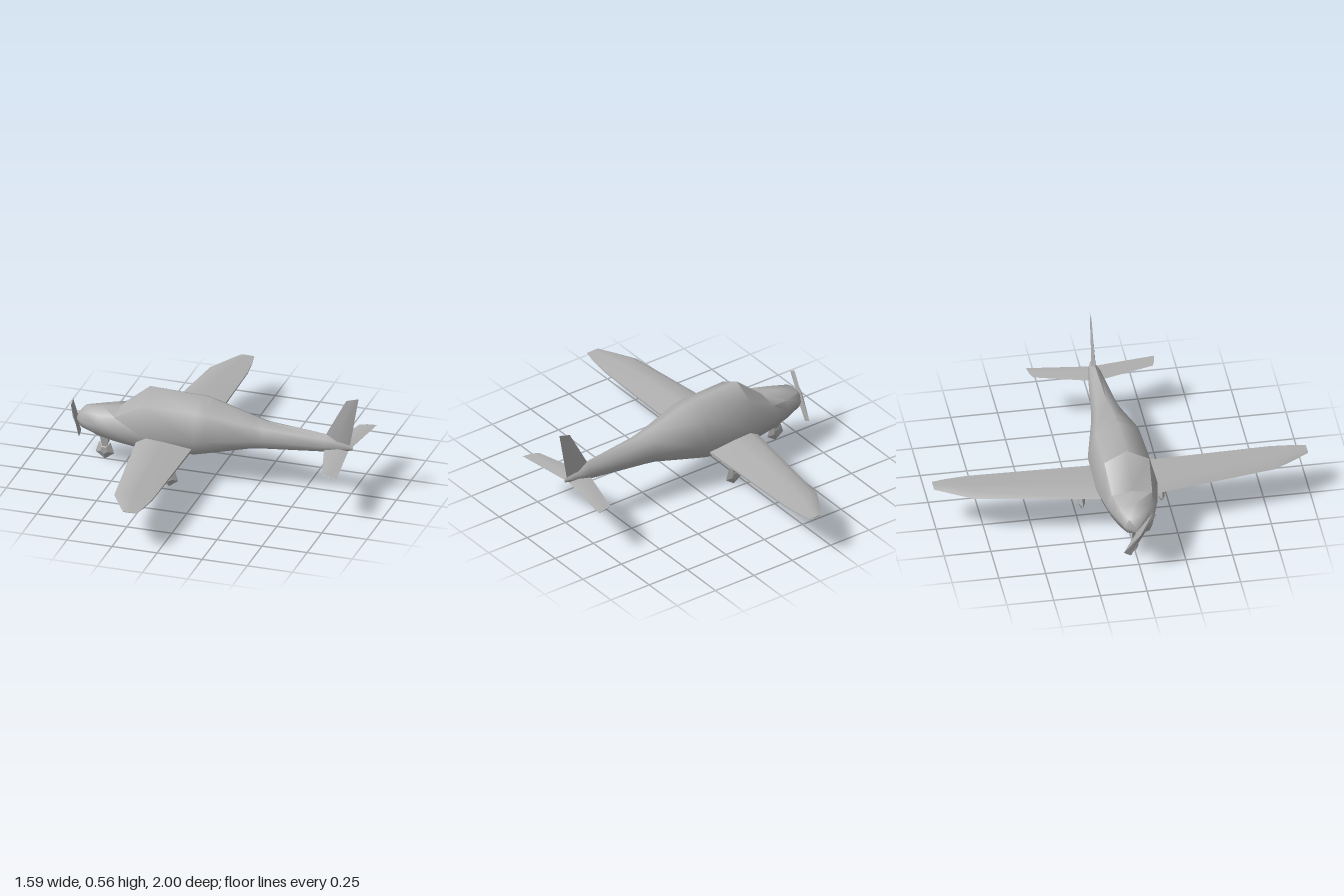
import * as THREE from 'three';
import { toCreasedNormals } from 'three/addons/utils/BufferGeometryUtils.js';

// Skin over rings of points; each ring runs counterclockwise seen from the last ring.
function loft(rings, crease, keep = () => true, caps = true) {
  const n = rings[0].length, index = [];
  for (let i = 0; i < rings.length - 1; i++) {
    for (let j = 0; j < n; j++) {
      if (!keep(i, j)) continue;
      const a = i * n + j, b = i * n + (j + 1) % n;
      index.push(a, b, b + n, a, b + n, a + n);
    }
  }
  if (caps) {
    const e = (rings.length - 1) * n;
    for (let j = 1; j < n - 1; j++) index.push(0, j + 1, j, e, e + j, e + j + 1);
  }
  const geo = new THREE.BufferGeometry();
  geo.setAttribute('position', new THREE.Float32BufferAttribute(rings.flat(2), 3));
  geo.setIndex(index);
  return toCreasedNormals(geo, crease);
}

// Mirror rings across the centre plane, keeping faces outward
const mirrorZ = rings => rings.map(r => r.map(([x, y, z]) => [x, y, -z]).reverse());

export function createModel() {
  const model = new THREE.Group();
  model.name = 'lightAirplane';
  const grey = new THREE.MeshStandardMaterial({ color: 0xb0b0b0 });
  grey.name = 'grey';
  const add = (name, geo, parent = model) => {
    const mesh = new THREE.Mesh(geo, grey);
    mesh.name = name;
    parent.add(mesh);
    return mesh;
  };

  // Fuselage stations: x, bottom, top, half width, shoulder y, shoulder z, side y
  const stations = [
    [-0.77, 0.21, 0.24, 0.012, 0.235, 0.008, 0.225],
    [-0.73, 0.185, 0.295, 0.075, 0.28, 0.05, 0.235],
    [-0.63, 0.15, 0.31, 0.105, 0.29, 0.085, 0.235],
    [-0.53, 0.137, 0.322, 0.135, 0.303, 0.108, 0.235],
    [-0.365, 0.12, 0.465, 0.165, 0.402, 0.12, 0.24],
    [-0.08, 0.13, 0.452, 0.16, 0.395, 0.115, 0.245],
    [-0.02, 0.143, 0.445, 0.146, 0.385, 0.107, 0.25],
    [0.22, 0.2, 0.373, 0.09, 0.34, 0.062, 0.268],
    [0.28, 0.205, 0.355, 0.08, 0.33, 0.055, 0.27],
    [0.61, 0.23, 0.33, 0.04, 0.31, 0.026, 0.27],
    [0.7, 0.243, 0.3, 0.024, 0.288, 0.016, 0.268],
    [0.755, 0.255, 0.275, 0.005, 0.27, 0.004, 0.264]
  ];
  const hull = stations.map(([x, yb, yt, w, sy, sz, my]) => {
    const ly = yb + (my - yb) * 0.3, lz = w * 0.8;
    return [[x, yt, 0], [x, sy, sz], [x, my, w], [x, ly, lz], [x, yb, 0],
      [x, ly, -lz], [x, my, -w], [x, sy, -sz]];
  });
  const isGlass = (i, j) => i === 3 && (j === 0 || j === 7);
  add('fuselage', loft(hull, 1.0, (i, j) => !isGlass(i, j)));
  add('windshield', loft(hull, 1.0, isGlass, false));

  // Wings: z, leading x, trailing x, middle y, thickness scale
  const wing = [
    [0.1, -0.405, -0.09, 0.2, 1],
    [0.81, -0.3, -0.09, 0.212, 0.5],
    [0.93, -0.232, -0.103, 0.214, 0.3],
    [1.0, -0.19, -0.117, 0.215, 0.06]
  ].map(([z, l, t, y, s]) => {
    const c = t - l;
    return [[l, y - 0.005 * s, z], [l + c * 0.16, y - 0.028 * s, z], [t, y - 0.014 * s, z],
      [t, y, z], [l + c * 0.5, y + 0.027 * s, z], [l + c * 0.19, y + 0.036 * s, z]];
  });

  // Tailplane: flat diamond section narrowing to the tip
  const tail = [
    [[0.6, 0.25, 0], [0.68, 0.237, 0], [0.735, 0.252, 0], [0.68, 0.265, 0]],
    [[0.69, 0.25, 0.32], [0.73, 0.248, 0.333], [0.78, 0.25, 0.343], [0.73, 0.252, 0.333]]
  ];
  for (const [side, f] of [['left', r => r], ['right', mirrorZ]]) {
    add(side + 'Wing', loft(f(wing), 0.75));
    add(side + 'Tailplane', loft(f(tail), 0.5));
  }

  // Fin
  const finRing = (x0, y0, x1, y1, t) =>
    [[x0, y0, 0], [(x0 + x1) / 2, (y0 + y1) / 2, t], [x1, y1, 0], [(x0 + x1) / 2, (y0 + y1) / 2, -t]];
  add('fin', loft([finRing(0.605, 0.32, 0.742, 0.28, 0.012), finRing(0.722, 0.54, 0.79, 0.56, 0.002)], 0.5));

  // Propeller: thick hub thinning to flat blunt blade tips
  const blade = (y, x, z) => [[-x, y, 0], [0, y, z], [x, y, 0], [0, y, -z]];
  const prop = add('propeller', loft([blade(-0.14, 0.001, 0.022), blade(0, 0.018, 0.022), blade(0.14, 0.001, 0.022)], 0.4));
  prop.position.set(-0.777, 0.217, 0);
  prop.rotation.x = 0.5;

  // Landing gear: tapered strut and five-sided wheel pointing down
  const strutRing = (y, x, z) => [[-x, y, z], [x, y, z], [x, y, -z], [-x, y, -z]];
  for (const [name, x, z, top] of [['noseGear', -0.615, 0, 0.17], ['leftGear', -0.19, 0.213, 0.2], ['rightGear', -0.19, -0.213, 0.2]]) {
    const gear = new THREE.Group();
    gear.name = name;
    gear.position.set(x, 0, z);
    model.add(gear);
    add('strut', loft([strutRing(0.08, 0.014, 0.014), strutRing(top, 0.03, 0.02)], 0.5), gear);
    const shape = new THREE.CylinderGeometry(0.022, 0.054, 0.016, 5);
    const half = new THREE.CylinderGeometry(0.054, 0.022, 0.016, 5);
    for (const [geo, s] of [[shape, 1], [half, -1]]) {
      geo.translate(0, s * 0.008, 0).rotateX(Math.PI / 2);
      const wheel = add('wheel', toCreasedNormals(geo, 0.5), gear);
      wheel.position.set(-0.002, 0.056, 0);
    }
  }
  return model;
}
